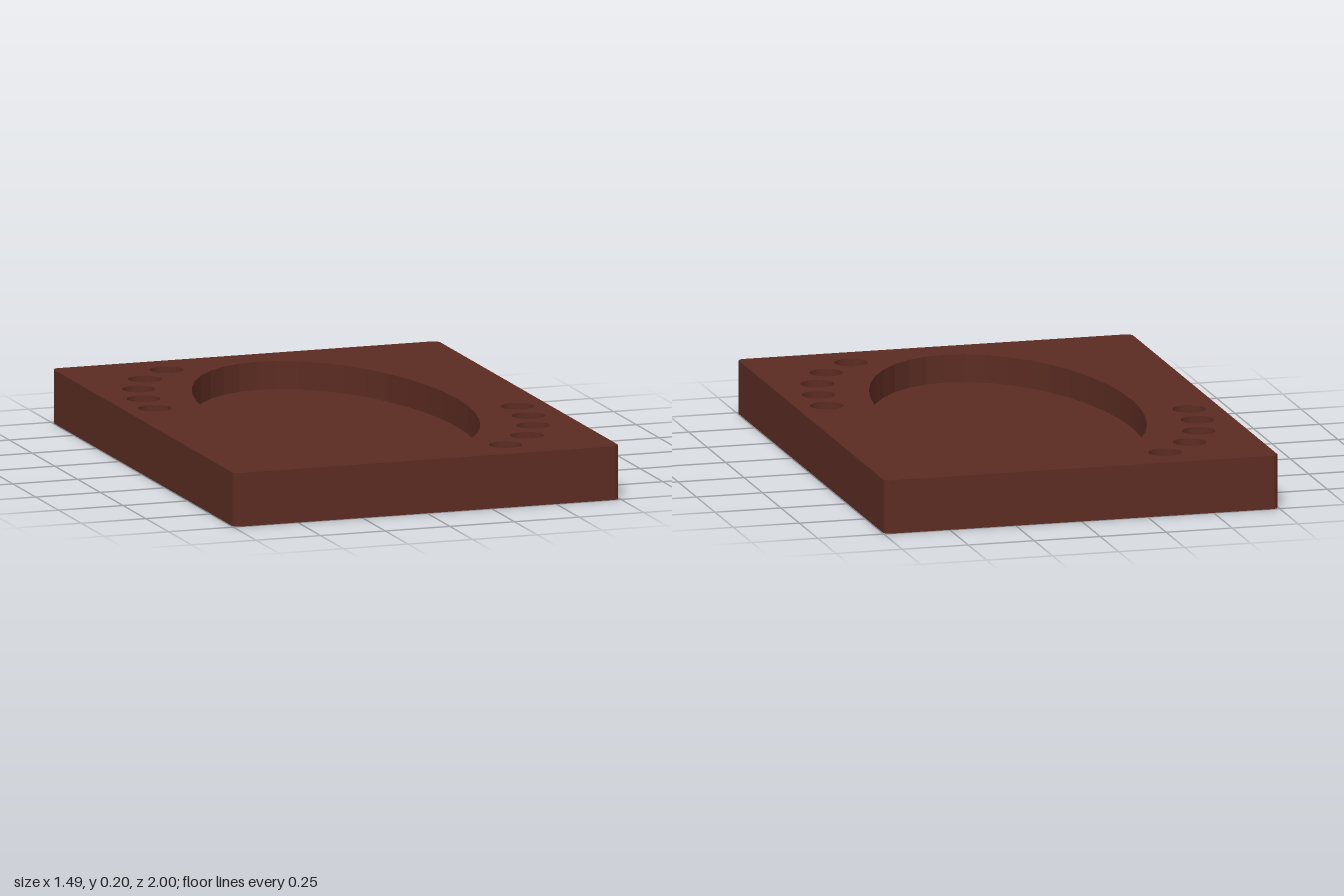
import * as THREE from 'three';

const HEIGHT = 0.2, HALF_X = 0.747, HALF_Z = 1, CORNER = 0.025;
const BASIN_FLOOR = 0.095, CUP_FLOOR = 0.17;

// Counter-clockwise ellipse in plan
function ellipse(cx, cy, rx, ry, n) {
  return Array.from({ length: n }, (_, i) => {
    const a = (i / n) * Math.PI * 2;
    return new THREE.Vector2(cx + rx * Math.cos(a), cy + ry * Math.sin(a));
  });
}

// Counter-clockwise rectangle with small rounded corners
function roundedRect() {
  const pts = [];
  [[1, 1], [-1, 1], [-1, -1], [1, -1]].forEach(([sx, sy], k) => {
    for (let i = 0; i <= 6; i++) {
      const a = (k + i / 6) * Math.PI / 2;
      pts.push(new THREE.Vector2(
        sx * (HALF_X - CORNER) + CORNER * Math.cos(a),
        sy * (HALF_Z - CORNER) + CORNER * Math.sin(a)));
    }
  });
  return pts;
}

// Vertical band around a loop; a reversed loop faces inward
function wall(loop, y0, y1) {
  const pos = [];
  loop.forEach((a, i) => {
    const b = loop[(i + 1) % loop.length];
    pos.push(a.x, a.y, y0, b.x, b.y, y0, b.x, b.y, y1);
    pos.push(a.x, a.y, y0, b.x, b.y, y1, a.x, a.y, y1);
  });
  const g = new THREE.BufferGeometry();
  g.setAttribute('position', new THREE.Float32BufferAttribute(pos, 3));
  g.computeVertexNormals();
  return g.rotateX(-Math.PI / 2);
}

// Flat horizontal face, with optional openings
function face(loop, y, openings = []) {
  const shape = new THREE.Shape(loop);
  shape.holes = openings.map(o => new THREE.Path(o));
  return new THREE.ShapeGeometry(shape).rotateX(-Math.PI / 2).translate(0, y, 0);
}

export function createModel() {
  const wood = new THREE.MeshStandardMaterial({ color: 0x5c2c22 });
  wood.name = 'dark brown wood';
  const model = new THREE.Group();
  model.name = 'gameBoard';
  const add = (name, geometry, parent = model) => {
    const mesh = new THREE.Mesh(geometry, wood);
    mesh.name = name;
    parent.add(mesh);
  };

  // Loops in plan (plan y is -z)
  const outline = roundedRect();
  const basin = ellipse(0, 0, 0.468, 0.866, 40);
  const arc = [[-0.36, 0.84], [-0.49, 0.71], [-0.57, 0.547], [-0.612, 0.377], [-0.63, 0.203]];
  const cups = [1, -1].flatMap(s => arc.map(([x, y]) => ellipse(s * x, s * y, 0.061, 0.061, 32)));

  // Board shell
  add('boardTop', face(outline, HEIGHT, [basin, ...cups]));
  add('boardSides', wall(outline, 0, HEIGHT));
  add('boardUnderside', face(outline, 0).rotateX(Math.PI));

  // Recesses: the large oval and two arcs of five round cups
  const recess = (name, loop, floorY) => {
    const group = new THREE.Group();
    group.name = name;
    add(name + 'Floor', face(loop, floorY), group);
    add(name + 'Wall', wall([...loop].reverse(), floorY, HEIGHT), group);
    model.add(group);
  };
  recess('ovalBasin', basin, BASIN_FLOOR);
  cups.forEach((loop, i) => recess('cup' + (i + 1), loop, CUP_FLOOR));

  return model;
}
